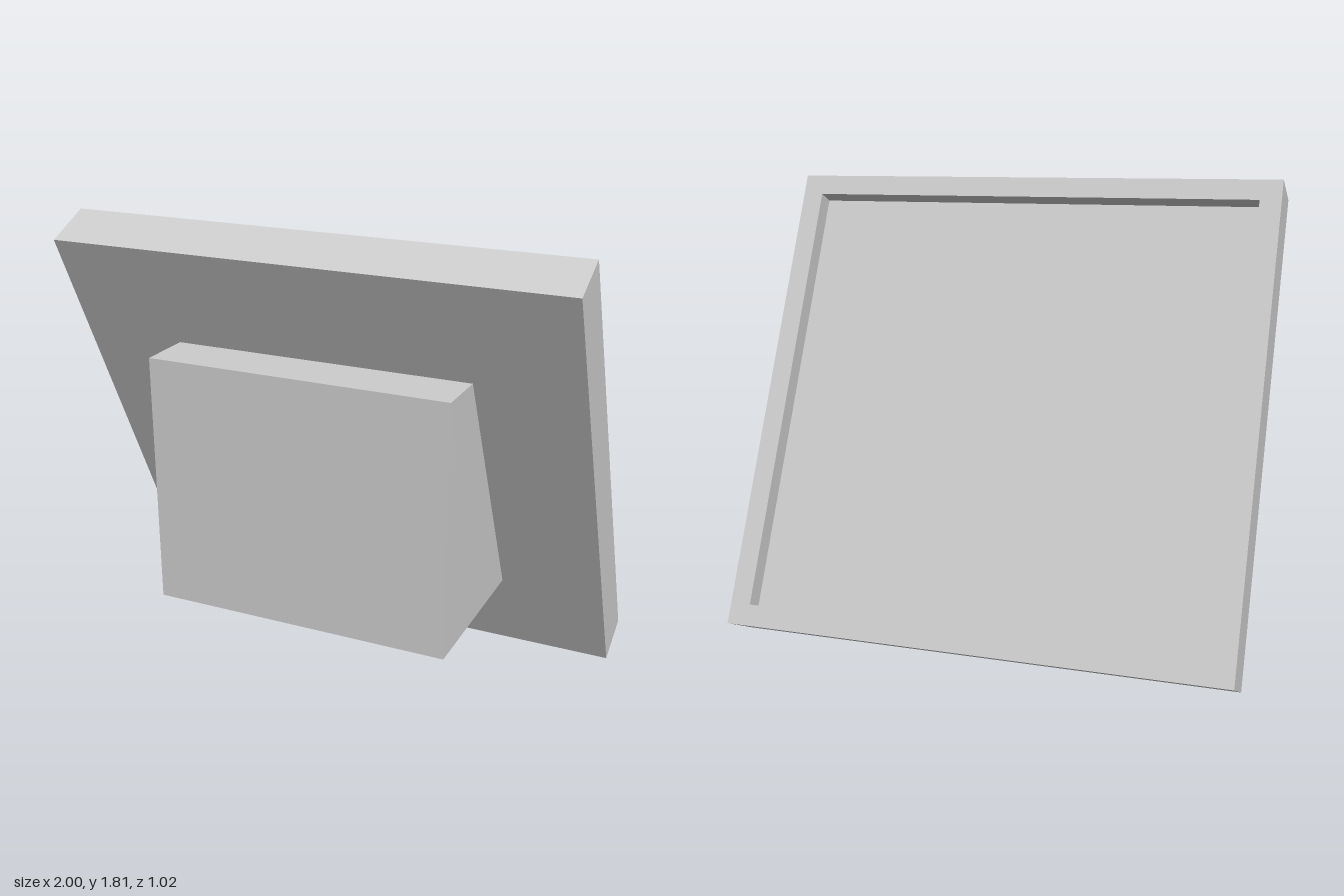
import * as THREE from 'three';

// Lofts a closed solid through rectangular loops given as [halfWidth, halfHeight, z], front to back.
function loftRectangles(loops) {
  const rings = loops.map(([w, h, z]) => [[-w, -h, z], [w, -h, z], [w, h, z], [-w, h, z]]);
  const points = [];
  const quad = (a, b, c, d) => points.push(...a, ...b, ...c, ...a, ...c, ...d);
  const first = rings[0], last = rings[rings.length - 1];
  quad(...first);
  for (let r = 0; r < rings.length - 1; r++) {
    for (let i = 0; i < 4; i++) {
      const j = (i + 1) % 4;
      quad(rings[r][i], rings[r + 1][i], rings[r + 1][j], rings[r][j]);
    }
  }
  quad(last[0], last[3], last[2], last[1]);
  const geometry = new THREE.BufferGeometry();
  geometry.setAttribute('position', new THREE.Float32BufferAttribute(points, 3));
  geometry.computeVertexNormals();
  return geometry;
}

export function createModel() {
  const model = new THREE.Group();
  model.name = 'tiltedPanel';
  const grey = new THREE.MeshStandardMaterial({ color: 0xcccccc });
  grey.name = 'light grey';

  // Leaning panel with a shallow rectangular recess in its back
  const halfWidth = 1, halfHeight = 0.9515, halfDepth = 0.0995;
  const border = 0.083, recess = 0.072;
  const panel = new THREE.Mesh(loftRectangles([
    [halfWidth, halfHeight, halfDepth],
    [halfWidth, halfHeight, -halfDepth],
    [halfWidth - border, halfHeight - border, -halfDepth],
    [halfWidth - border, halfHeight - border, -halfDepth + recess],
  ]), grey);
  panel.name = 'recessedPanel';
  panel.rotation.x = THREE.MathUtils.degToRad(25);
  panel.position.set(0, 0.904, -0.0175);
  model.add(panel);

  // Upright housing on the front, its sloping back sunk slightly into the panel
  const profile = new THREE.Shape([
    new THREE.Vector2(0.508, 0.35),
    new THREE.Vector2(0.508, 1.33),
    new THREE.Vector2(0.26, 1.33),
    new THREE.Vector2(-0.197, 0.35),
  ]);
  const width = 1.18;
  const housingGeometry = new THREE.ExtrudeGeometry(profile, { depth: width, bevelEnabled: false });
  housingGeometry.translate(0, 0, -width / 2).rotateY(-Math.PI / 2);
  const housing = new THREE.Mesh(housingGeometry, grey);
  housing.name = 'frontHousing';
  model.add(housing);

  return model;
}
